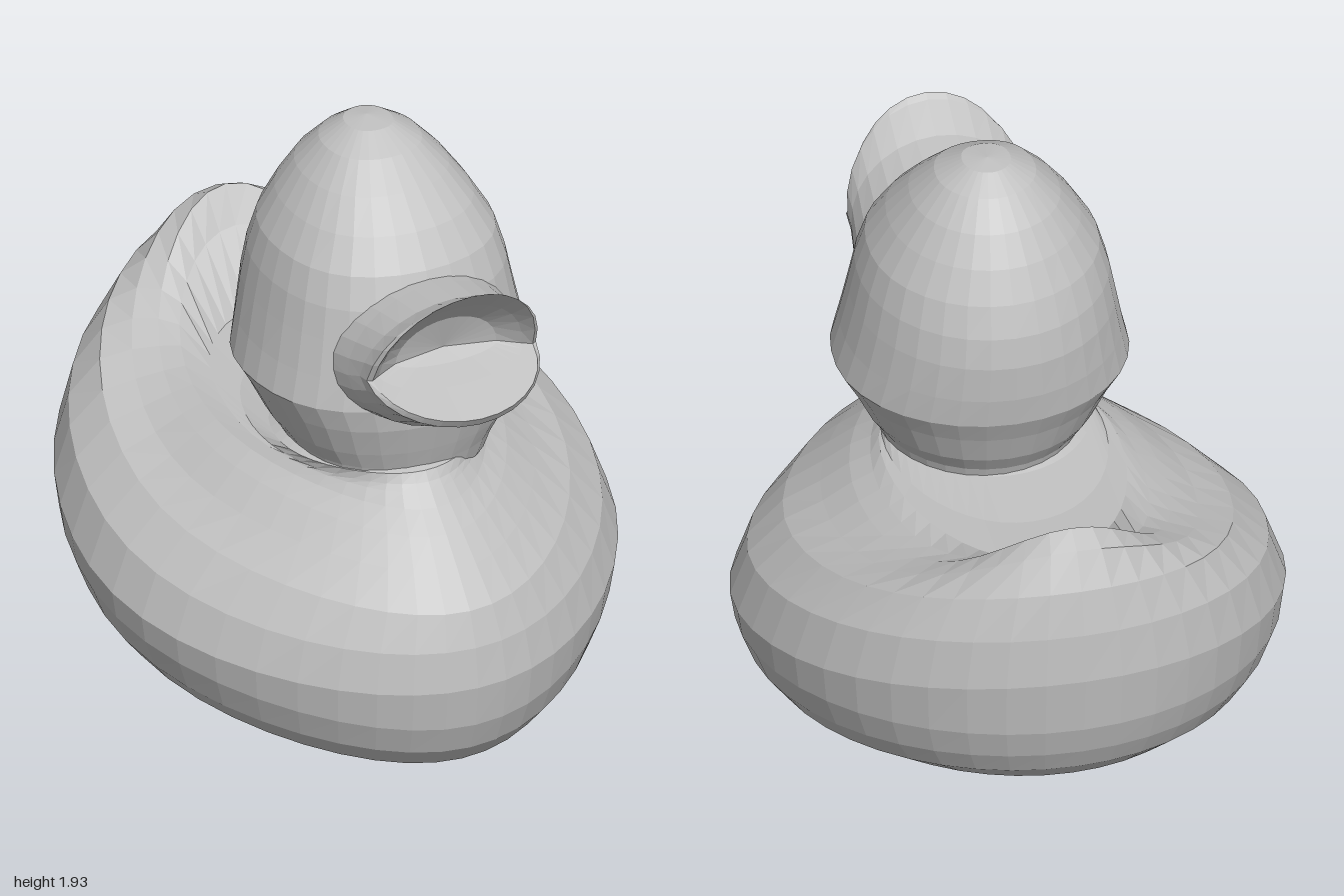
import * as THREE from 'three';

// Skin a stack of closed loops (each an array of [x, y, z]), counterclockwise about the stacking direction.
function loft(name, loops, material) {
  const n = loops[0].length;
  const index = [];
  for (let i = 0; i < loops.length - 1; i++) {
    for (let j = 0; j < n; j++) {
      const k = (j + 1) % n;
      const a = i * n + j, b = i * n + k, c = a + n, d = b + n;
      index.push(a, b, d, a, d, c);
    }
  }
  const geometry = new THREE.BufferGeometry();
  geometry.setAttribute('position', new THREE.Float32BufferAttribute(loops.flat(2), 3));
  geometry.setIndex(index);
  geometry.computeVertexNormals();
  const mesh = new THREE.Mesh(geometry, material);
  mesh.name = name;
  return mesh;
}

const around = (n, point) =>
  Array.from({ length: n }, (_, j) => point((j / n) * Math.PI * 2));

// Tilted oval: front and back ends have their own heights; lift bends the rise towards the back,
// bump raises the sides, flare widens (or narrows) the front half.
function oval(n, [zf, yf, zb, yb, w, lift = 1, bump = 0], flare, cx = 0) {
  return around(n, (t) => {
    const s = Math.sin(t), c = Math.cos(t), k = (1 - c) / 2;
    const wide = 1 + flare * Math.max(0, c) ** 2;
    return [cx + w * wide * s, yf + (yb - yf) * k ** lift + bump * s * s, zf + (zb - zf) * k];
  });
}

// Bill loop: upper and lower halves have separate heights and forward reach.
function billLoop([w, y, up, down, z, zUp, zDown]) {
  return around(28, (t) => {
    const s = Math.sin(t), m = Math.abs(s);
    return [0.03 + w * Math.cos(t), y + s * (s > 0 ? up : down), z + m * (s > 0 ? zUp : zDown)];
  });
}

export function createModel() {
  const duck = new THREE.Group();
  duck.name = 'bathDuck';
  const rubber = new THREE.MeshStandardMaterial({
    color: 0xc0c0c0, flatShading: true, side: THREE.DoubleSide,
  });
  rubber.name = 'grey rubber';

  // Body with dimpled sloping base and raised tail: front z, y, back z, y, half width, lift, bump
  const body = [
    [0, 0.22, 0, 0.22, 0],
    [0.1, 0.13, -0.1, 0.16, 0.1],
    [0.75, 0, -0.84, 0.3, 0.6],
    [0.88, 0.05, -0.91, 0.37, 0.73],
    [0.94, 0.12, -0.95, 0.45, 0.79],
    [0.98, 0.22, -0.98, 0.55, 0.83],
    [1.0, 0.36, -1.0, 0.74, 0.845, 1.1, -0.06],
    [0.98, 0.49, -0.985, 0.9, 0.79, 1.6, 0],
    [0.94, 0.6, -0.95, 1.04, 0.675, 2.5, 0.055],
    [0.85, 0.7, -0.89, 1.15, 0.56, 4.2, 0.06],
    [0.77, 0.78, -0.82, 1.19, 0.47, 6, 0.055],
    [0.7, 0.84, -0.75, 1.08, 0.405, 6, 0.03],
    [0.66, 0.88, -0.55, 0.9, 0.365, 2, 0.01],
    [0.64, 0.9, -0.33, 0.89, 0.34],
    [0.62, 0.93, -0.1, 0.91, 0.32],
    [0.55, 0.95, -0.05, 0.93, 0.28],
  ];
  duck.add(loft('body', body.map((r) => oval(44, r, -0.18)), rubber));

  // Neck and domed head: y, front z, back z, half width
  const head = [
    [0.88, 0.58, -0.08, 0.3],
    [0.94, 0.6, -0.1, 0.32],
    [1.0, 0.62, -0.14, 0.36],
    [1.1, 0.65, -0.18, 0.41],
    [1.18, 0.66, -0.22, 0.455],
    [1.28, 0.65, -0.235, 0.43],
    [1.4, 0.63, -0.24, 0.405],
    [1.5, 0.61, -0.225, 0.385],
    [1.6, 0.57, -0.19, 0.355],
    [1.7, 0.5, -0.14, 0.295],
    [1.79, 0.41, -0.08, 0.23],
    [1.87, 0.32, 0.0, 0.155],
    [1.92, 0.23, 0.07, 0.075],
    [1.93, 0.14, 0.14, 0],
  ];
  duck.add(loft('head', head.map(([y, zf, zb, w]) => oval(32, [zf, y, zb, y, w], 0.2, 0.025)), rubber));

  // Open flared bill, from the root to the lips and back into the mouth
  const bill = [
    [0.32, 1.28, 0.28, 0.18, 0.42, 0.06, 0.15],
    [0.295, 1.33, 0.25, 0.18, 0.62, 0.0, 0.12],
    [0.285, 1.36, 0.24, 0.16, 0.69, 0.07, 0.15],
    [0.285, 1.37, 0.29, 0.12, 0.74, 0.13, 0.2],
    [0.27, 1.37, 0.305, 0.09, 0.75, 0.14, 0.21],
    [0.24, 1.37, 0.22, 0.04, 0.73, 0.07, 0.09],
    [0.17, 1.38, 0.13, 0.02, 0.7, 0.02, 0.03],
    [0, 1.39, 0, 0, 0.68, 0, 0],
  ];
  duck.add(loft('bill', bill.map(billLoop), rubber));

  return duck;
}
